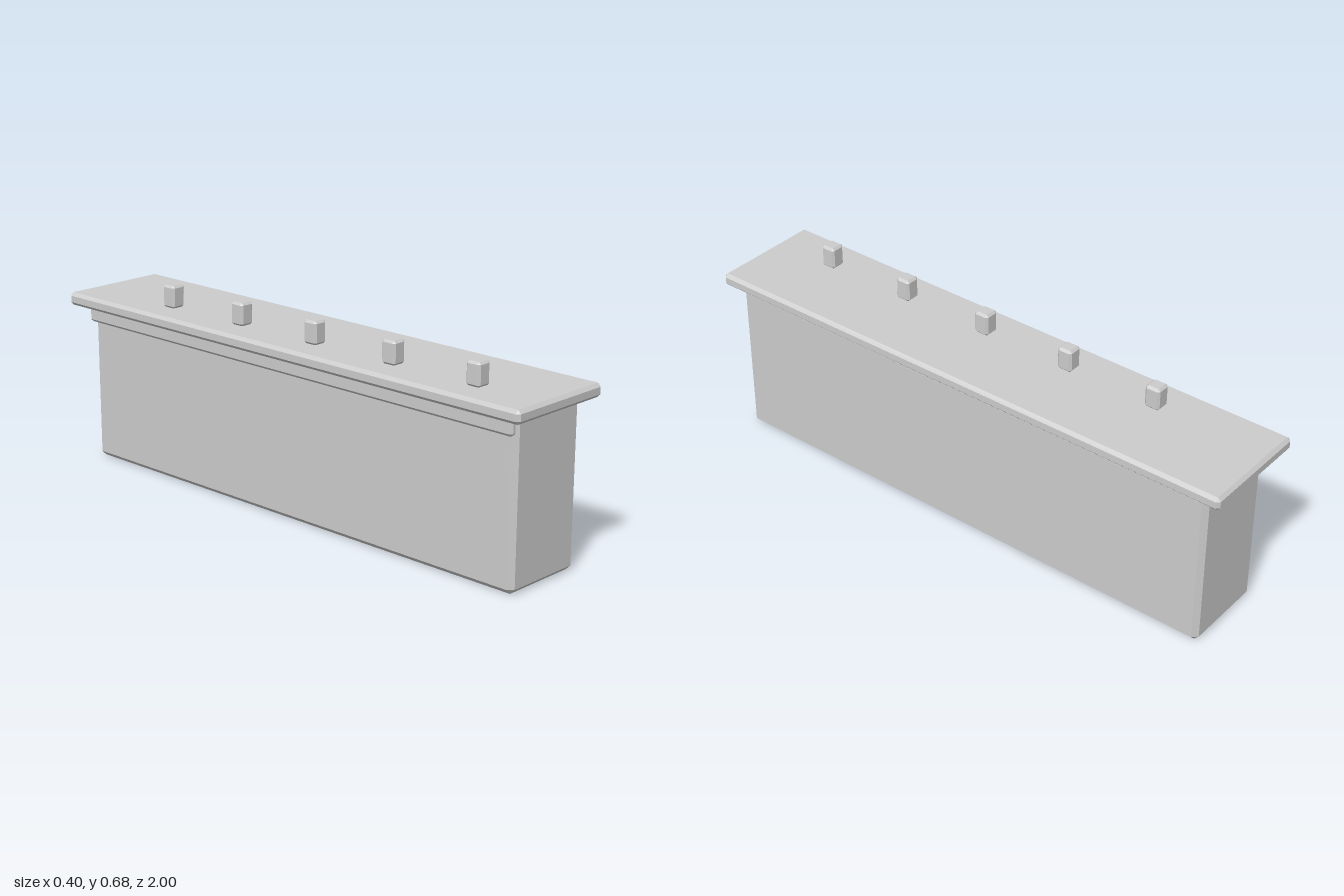
import * as THREE from 'three';
import { ConvexGeometry } from 'three/addons/geometries/ConvexGeometry.js';

const material = new THREE.MeshStandardMaterial({ color: 0xcccccc, flatShading: true });

// Box with every edge chamfered by c, spanning min to max
function chamferBox(name, min, max, c) {
  const centre = min.map((v, i) => (v + max[i]) / 2);
  const half = min.map((v, i) => (max[i] - v) / 2);
  const points = [];
  for (const sx of [-1, 1]) for (const sy of [-1, 1]) for (const sz of [-1, 1]) {
    // each corner becomes three points, one on each adjoining face
    for (let face = 0; face < 3; face++) {
      const p = [sx, sy, sz].map((s, i) => s * (half[i] - (i === face ? 0 : c)));
      points.push(new THREE.Vector3(...p));
    }
  }
  const mesh = new THREE.Mesh(new ConvexGeometry(points), material);
  mesh.position.set(...centre);
  mesh.name = name;
  return mesh;
}

export function createModel() {
  const model = new THREE.Group();
  model.name = 'counter';

  // Main body, set slightly towards the left
  model.add(chamferBox('body', [-0.135, 0, -0.943], [0.171, 0.557, 0.943], 0.017));

  // Overhanging top slab
  model.add(chamferBox('top', [-0.2, 0.557, -1], [0.2, 0.602, 1], 0.011));

  // Trim strip under the overhang
  model.add(chamferBox('trimStrip', [-0.158, 0.5, -0.943], [-0.13, 0.557, 0.943], 0.009));

  // Row of pegs along the top
  const pegs = new THREE.Group();
  pegs.name = 'pegs';
  for (let i = 0; i < 5; i++) {
    const z = 0.75 - i * 0.334;
    pegs.add(chamferBox('peg', [-0.106, 0.601, z - 0.027], [-0.052, 0.68, z + 0.027], 0.008));
  }
  model.add(pegs);

  return model;
}
